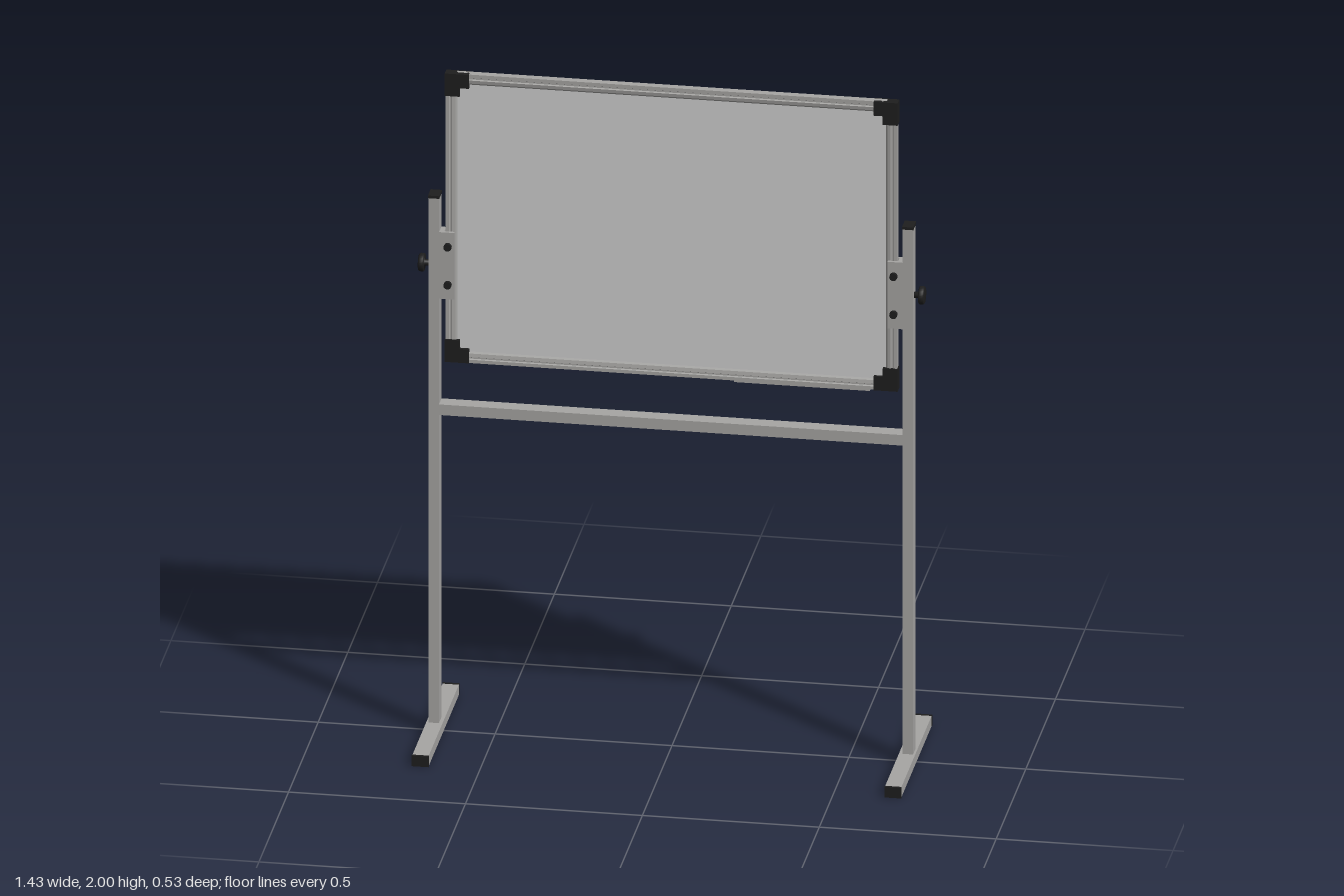
import * as THREE from 'three';

const material = (name, color) => {
  const m = new THREE.MeshStandardMaterial({ color });
  m.name = name;
  return m;
};

export function createModel() {
  const metal = material('grey metal', 0xa6a5a3);
  const white = material('board white', 0xcfcfcf);
  const black = material('black plastic', 0x1e1e1e);
  const model = new THREE.Group();
  model.name = 'mobileBoard';

  const add = (name, geometry, mat, parent = model) => {
    const mesh = new THREE.Mesh(geometry, mat);
    mesh.name = name;
    parent.add(mesh);
    return mesh;
  };
  // Box given by its extents on each axis
  const box = (name, [x0, x1], [y0, y1], [z0, z1], mat, parent) => {
    const mesh = add(name, new THREE.BoxGeometry(x1 - x0, y1 - y0, z1 - z0), mat, parent);
    mesh.position.set((x0 + x1) / 2, (y0 + y1) / 2, (z0 + z1) / 2);
    return mesh;
  };
  const shapeOf = (pts) => new THREE.Shape(pts.map(([x, y]) => new THREE.Vector2(x, y)));
  const extrude = (shape, depth) =>
    new THREE.ExtrudeGeometry(shape, { depth, bevelEnabled: false }).translate(0, 0, -depth / 2);

  // Board
  const board = new THREE.Group();
  board.name = 'board';
  board.position.y = 1.5625;
  model.add(board);
  const W = 0.638, H = 0.4375;
  box('panel', [-W + 0.03, W - 0.03], [-H + 0.03, H - 0.03], [-0.005, 0.005], white, board);

  // Grooved frame rails: profile runs from the outer edge inward
  const half = [[0, 0.011], [0.01, 0.011], [0.012, 0.007], [0.016, 0.007],
    [0.018, 0.011], [0.028, 0.009], [0.034, 0.004]];
  const profile = shapeOf([...half.map(([u, z]) => [u, -z]), ...half.slice().reverse()]);
  const zAxis = new THREE.Vector3(0, 0, 1);
  for (const [name, dx, dy] of [['topRail', 0, 1], ['bottomRail', 0, -1], ['leftRail', 1, 0], ['rightRail', -1, 0]]) {
    const inward = new THREE.Vector3(-dx, -dy, 0);
    const along = inward.clone().cross(zAxis);
    const geometry = extrude(profile, 2 * (dx ? H : W) - 0.06);
    geometry.applyMatrix4(new THREE.Matrix4().makeBasis(inward, zAxis, along));
    add(name, geometry, metal, board).position.set(dx * W, dy * H, 0);
  }

  // L-shaped corner caps
  const corner = shapeOf([[0, 0], [-0.068, 0], [-0.068, -0.042], [-0.042, -0.042], [-0.042, -0.068], [0, -0.068]]);
  [[1, 1, 0], [-1, 1, 1], [-1, -1, 2], [1, -1, 3]].forEach(([sx, sy, turn]) => {
    const cap = add('cornerCap', extrude(corner, 0.029), black, board);
    cap.position.set(sx * (W + 0.002), sy * H, 0);
    cap.rotation.z = turn * Math.PI / 2;
  });

  // Pen tray behind the lower rail, with an upturned lip
  const tray = shapeOf([[0.008, 1.124], [0.008, 1.119], [-0.068, 1.115], [-0.076, 1.117],
    [-0.081, 1.124], [-0.078, 1.125], [-0.074, 1.12], [-0.068, 1.118], [0.004, 1.122], [0.004, 1.126]]);
  const trayMesh = add('penTray', extrude(tray, 0.384), metal);
  trayMesh.rotation.y = -Math.PI / 2;
  trayMesh.scale.x = 1;
  trayMesh.position.x = 0.368;

  // Crossbar
  box('crossbar', [-0.656, 0.656], [0.966, 0.998], [-0.022, 0.022], metal);

  // Stand sides, built on the left and turned half round for the right
  for (const side of ['left', 'right']) {
    const stand = new THREE.Group();
    stand.name = side + 'Stand';
    if (side === 'right') stand.rotation.y = Math.PI;
    model.add(stand);

    box('post', [0.655, 0.685], [0.03, 1.622], [-0.022, 0.022], metal, stand);
    box('postCap', [0.654, 0.686], [1.622, 1.63], [-0.023, 0.023], black, stand);
    box('foot', [0.645, 0.691], [0, 0.031], [-0.255, 0.255], metal, stand);
    for (const s of [1, -1])
      box('footCap', [0.644, 0.692], [0, 0.032], s > 0 ? [0.255, 0.263] : [-0.263, -0.255], black, stand);

    // Channel bracket gripping the frame
    box('bracketWeb', [0.641, 0.655], [1.318, 1.52], [-0.02, 0.02], metal, stand);
    for (const s of [1, -1]) {
      const z = s > 0 ? [0.011, 0.02] : [-0.02, -0.011];
      box('bracketPlate', [0.612, 0.641], [1.318, 1.52], z, metal, stand);
    }

    // Bracket bolts
    for (const y of [1.363, 1.478]) {
      const bolt = add('bracketBolt', new THREE.CylinderGeometry(0.011, 0.011, 0.062, 16), black, stand);
      bolt.rotation.x = Math.PI / 2;
      bolt.position.set(0.63, y, 0);
    }

    // Clamping knob
    const knobProfile = [[0, 0.65], [0.009, 0.65], [0.009, 0.698], [0.024, 0.699],
      [0.026, 0.702], [0.026, 0.711], [0.023, 0.715], [0, 0.715]];
    const knob = add('knob', new THREE.LatheGeometry(knobProfile.map(([r, h]) => new THREE.Vector2(r, h)), 24), black, stand);
    knob.rotation.z = -Math.PI / 2;
    knob.position.y = 1.417;
  }

  return model;
}
